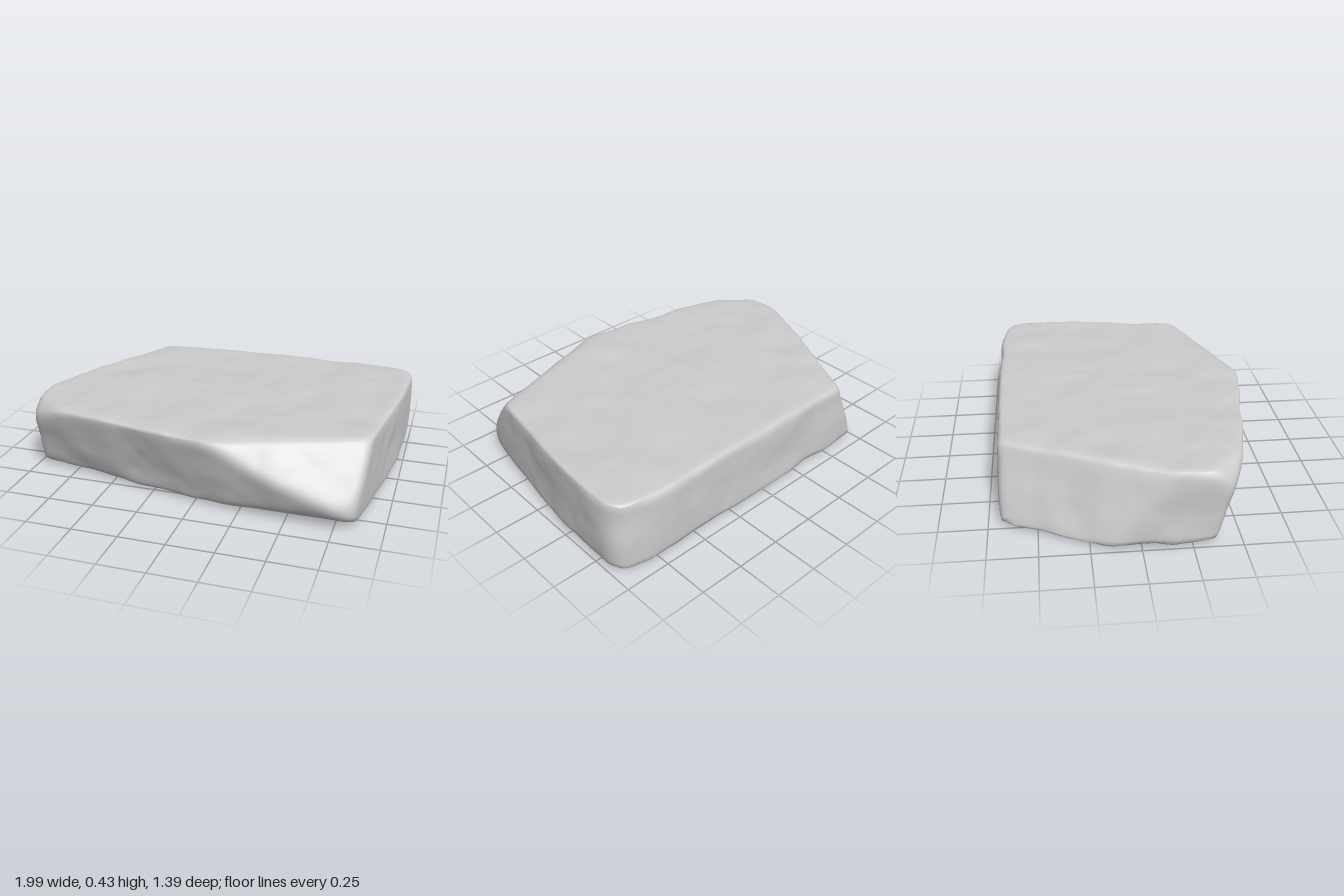
import * as THREE from 'three';
import { mergeVertices } from 'three/addons/utils/BufferGeometryUtils.js';

const V = (x, y, z) => new THREE.Vector3(x, y, z);
const CENTRE = V(0, 0.21, 0);

// Cut plane through three points, facing away from the middle of the slab
function cut(a, b, c) {
  const plane = new THREE.Plane().setFromCoplanarPoints(V(...a), V(...b), V(...c));
  return plane.distanceToPoint(CENTRE) > 0 ? plane.negate() : plane;
}

// Side wall along a line in plan; inset moves its top edge inwards (negative) or outwards
function wall(x1, z1, x2, z2, inset = 0) {
  const n = V(z2 - z1, 0, x1 - x2).normalize();
  if (n.x * x1 + n.z * z1 < 0) n.negate();
  return cut([x1, 0.05, z1], [x2, 0.05, z2], [x1 + n.x * inset, 0.4, z1 + n.z * inset]);
}

const CUTS = [
  cut([0, 0.42, 0], [1, 0.42, 0], [0, 0.422, 1]),             // top
  cut([0, 0.012, 0], [1, 0.012, 0], [0, 0.012, 1]),           // underside
  wall(-0.73, -0.693, 0.8, -0.693),                           // back
  wall(0.8, -0.695, 0.985, -0.645),                           // back corner
  wall(0.94, -0.668, 0.998, -0.58),
  wall(0.993, -0.64, 0.993, -0.35),                           // end wall
  wall(0.993, -0.35, 0.862, 0.6),
  wall(0.79, 0.668, 0.875, 0.6),                              // front corner
  wall(-0.995, -0.13, -0.978, 0.44),                          // opposite end
  wall(-0.978, 0.44, -0.87, 0.502),
  cut([-0.985, 0.34, 0.44], [-0.87, 0.36, 0.505], [-0.93, 0.42, 0.38]),
  wall(-0.725, -0.69, -0.985, -0.13, -0.12),                  // sloping back corner
  cut([-0.87, 0.38, 0.5], [0.15, 0.38, 0.695], [0.1, 0.05, 0.585]), // undercut front
  cut([0.3, 0.3, 0.718], [0.8, 0.12, 0.672], [0.6, 0.04, 0.635]),
  cut([0.3, 0.06, 0.655], [0.8, 0.06, 0.645], [0.8, 0.01, 0.55]),   // lower front bevel
  cut([0.87, 0.415, 0.415], [0.1, 0.415, 0.695], [0.86, 0.1, 0.65]), // broken front corner
];

// Seeded smooth lattice noise, -1 to 1
function hash(x, y, z) {
  let h = Math.imul(x, 374761393) ^ Math.imul(y, 668265263) ^ Math.imul(z, 873209471);
  h = Math.imul(h ^ (h >>> 13), 1274126177);
  h = Math.imul(h ^ (h >>> 15), 2246822519);
  return ((h ^ (h >>> 16)) >>> 0) / 2147483648 - 1;
}
function noise(x, y, z) {
  const i = [x, y, z].map(Math.floor);
  const f = [x - i[0], y - i[1], z - i[2]].map((t) => t * t * (3 - 2 * t));
  let sum = 0;
  for (let k = 0; k < 8; k++) {
    const o = [k & 1, (k >> 1) & 1, k >> 2];
    const w = o.reduce((p, on, j) => p * (on ? f[j] : 1 - f[j]), 1);
    sum += w * hash(i[0] + o[0], i[1] + o[1], i[2] + o[2]);
  }
  return sum;
}

// Softly blended distance to the cuts, with a worn stone surface
function stone(p) {
  const k = 0.013;
  let sum = 0;
  for (const c of CUTS) sum += Math.exp(c.distanceToPoint(p) / k);
  return k * Math.log(sum)
    + 0.008 * noise(p.x * 6 + 3, p.y * 6, p.z * 6)
    + 0.002 * noise(p.x * 14, p.y * 14 + 9, p.z * 14);
}

function stoneGeometry() {
  let geo = new THREE.BoxGeometry(1.96, 0.4, 1.36, 88, 20, 62);
  geo.deleteAttribute('uv');
  geo.deleteAttribute('normal');
  geo.clearGroups();
  geo = mergeVertices(geo, 1e-4);
  const pos = geo.attributes.position;
  const dir = V(0, 0, 0), p = V(0, 0, 0);
  // Move each point along its ray from the middle until it meets the stone surface
  for (let i = 0; i < pos.count; i++) {
    dir.fromBufferAttribute(pos, i);
    let lo = 0.3, hi = 1.6;
    for (let s = 0; s < 18; s++) {
      const mid = (lo + hi) / 2;
      p.copy(CENTRE).addScaledVector(dir, mid);
      if (stone(p) < 0) lo = mid; else hi = mid;
    }
    pos.setXYZ(i, p.x, p.y, p.z);
  }
  // Stand the lowest point on the ground
  geo.computeBoundingBox();
  geo.translate(0, -geo.boundingBox.min.y, 0);
  geo.computeVertexNormals();
  return geo;
}

export function createModel() {
  const group = new THREE.Group();
  group.name = 'stoneSlab';
  const greyStone = new THREE.MeshStandardMaterial({ color: 0xcccccc });
  greyStone.name = 'greyStone';
  const slab = new THREE.Mesh(stoneGeometry(), greyStone);
  slab.name = 'slab';
  group.add(slab);
  return group;
}
